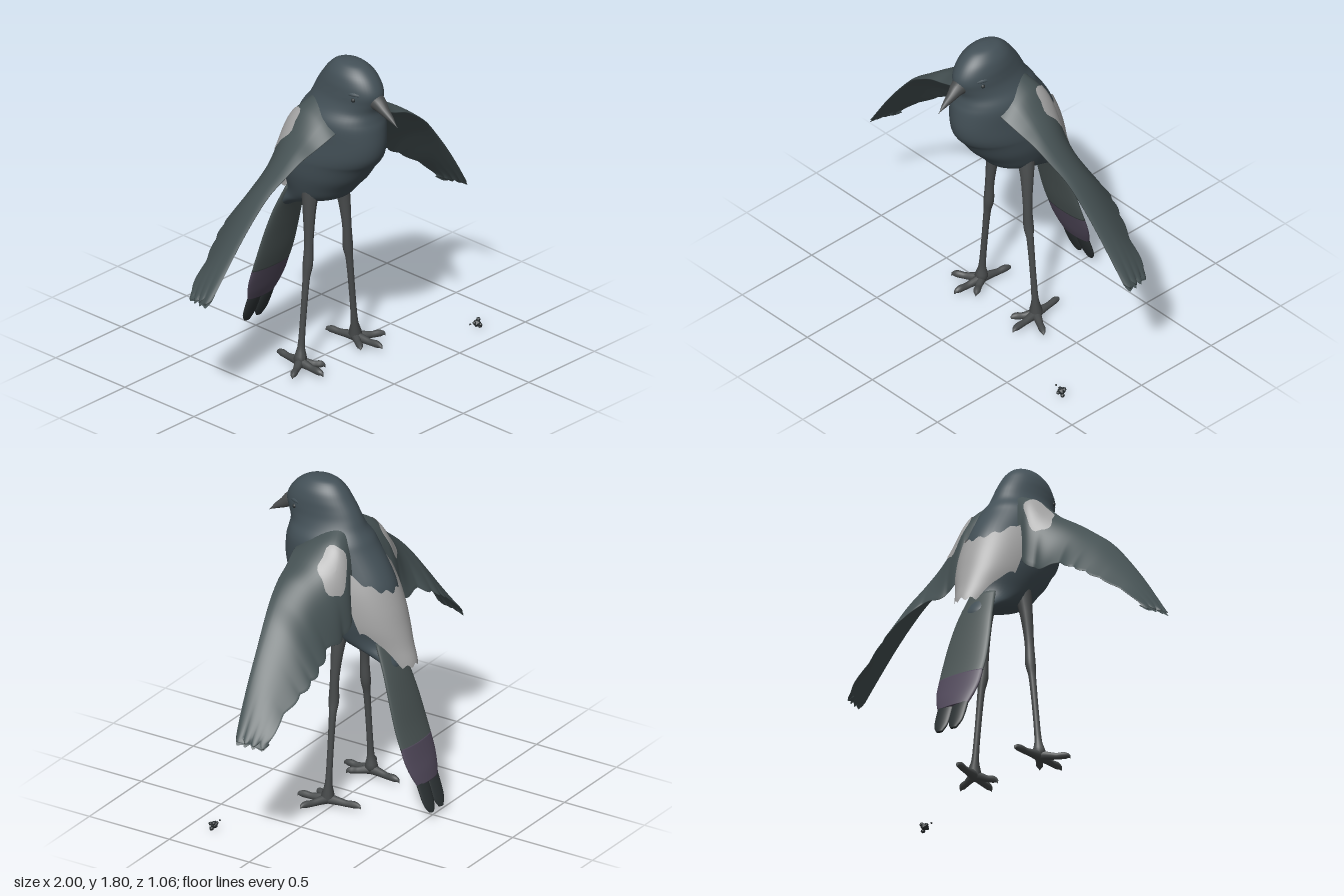
import * as THREE from 'three';

const { sin, cos, abs, PI, min, floor, max } = Math;
const paint = (color, side = THREE.FrontSide) => new THREE.MeshStandardMaterial({ color, side });
const slate = paint(0x435057), wingGrey = paint(0x465254), pale = paint(0xa3a3a3, THREE.DoubleSide);
const legGrey = paint(0x484b4c), dark = paint(0x2c3234), purple = paint(0x50485a), tailGrey = paint(0x4a5454);

// Smooth interpolation of table rows, t from 0 to 1
function sample(table, t) {
  const n = table.length - 1, i = min(floor(t * n), n - 1), f = t * n - i;
  const row = k => table[max(0, min(n, k))];
  return table[0].map((_, c) => {
    const [a, b, d, e] = [row(i - 1)[c], row(i)[c], row(i + 1)[c], row(i + 2)[c]];
    return b + 0.5 * f * (d - a + f * (2 * a - 5 * b + 4 * d - e + f * (3 * (b - d) + e - a)));
  });
}

// Skin over rows of points; wrap joins the last column to the first
function loft(rows, wrap = true) {
  const n = rows[0].length, index = [];
  for (let i = 0; i < rows.length - 1; i++) {
    for (let j = 0; j < (wrap ? n : n - 1); j++) {
      const k = (j + 1) % n, a = i * n + j, b = i * n + k, c = a + n, d = b + n;
      index.push(a, c, b, b, c, d);
    }
  }
  const g = new THREE.BufferGeometry();
  g.setAttribute('position', new THREE.Float32BufferAttribute(rows.flat(2), 3));
  g.setIndex(index);
  g.computeVertexNormals();
  return g;
}

// Closed stack of horizontal ovals, rows from top to bottom: [y, zFront, zBack, halfWidth, xCentre]
function stack(table, steps = 40, seg = 32) {
  const oval = ([y, zf, zb, w, xc = 0], s) => Array.from({ length: seg }, (_, j) => {
    const t = j / seg * 2 * PI;
    return [xc + s * w * sin(t), y, (zf + zb) / 2 + s * (zf - zb) / 2 * cos(t)];
  });
  const rows = [oval(table[0], 0)];
  for (let i = 0; i <= steps; i++) rows.push(oval(sample(table, i / steps), 1));
  rows.push(oval(table[table.length - 1], 0));
  return loft(rows);
}

// Tapered tube through [x, y, z, radius]
function limb(points, steps = 24, seg = 10) {
  const curve = new THREE.CatmullRomCurve3(points.map(p => new THREE.Vector3(p[0], p[1], p[2])));
  const g = new THREE.TubeGeometry(curve, steps, 1, seg);
  const pos = g.attributes.position, v = new THREE.Vector3();
  for (let i = 0; i <= steps; i++) {
    const centre = curve.getPointAt(i / steps);
    const r = max(0.001, sample(points.map(p => [p[3]]), curve.getUtoTmapping(i / steps))[0]);
    for (let j = 0; j <= seg; j++) {
      const k = i * (seg + 1) + j;
      v.fromBufferAttribute(pos, k).sub(centre).multiplyScalar(r).add(centre);
      pos.setXYZ(k, v.x, v.y, v.z);
    }
  }
  return g;
}

// Mirrored copy across x = 0 with its faces turned back outward
function mirror(geometry) {
  const g = geometry.clone().scale(-1, 1, 1), ix = g.index.array;
  for (let i = 0; i < ix.length; i += 3) [ix[i], ix[i + 1]] = [ix[i + 1], ix[i]];
  g.computeVertexNormals();
  return g;
}

// Wing stations: [x, leading y, leading z, trailing y, trailing z, half thickness, camber]
const WING = [
  [0.10, 1.46, 0.24, 1.24, -0.09, 0.08, 0.14], [0.20, 1.435, 0.24, 1.13, -0.12, 0.08, 0.145],
  [0.30, 1.39, 0.222, 1.045, -0.13, 0.055, 0.11], [0.40, 1.35, 0.208, 1.055, -0.12, 0.032, 0.07],
  [0.50, 1.285, 0.19, 1.01, -0.14, 0.022, 0.045], [0.60, 1.205, 0.165, 0.95, -0.15, 0.018, 0.032],
  [0.70, 1.09, 0.145, 0.885, -0.13, 0.014, 0.022], [0.80, 0.96, 0.13, 0.815, -0.10, 0.012, 0.017],
  [0.90, 0.815, 0.115, 0.735, -0.09, 0.01, 0.012], [0.985, 0.685, 0.10, 0.665, -0.08, 0.008, 0.005],
];
// Point on the wing: v along the span, u across the chord, side +1 upper or -1 lower
function wingPoint(v, u, side, lift = 0) {
  const [x, ly, lz, ty, tz, thick, camber] = sample(WING, v);
  const scallop = 0.05 * u ** 4 * (abs(sin(v * 27 + sin(v * 11))) - 0.5);
  const dy = ty - ly, dz = tz - lz, len = Math.hypot(dy, dz);
  const off = camber * sin(PI * u ** 0.75) + side * (thick * sin(PI * u ** 0.55) + 0.002) + lift;
  const finger = v ** 14 * 0.03 * (abs(sin(4 * PI * u)) - 0.5);
  const rounding = v ** 14 * 0.04 * u * u;
  return [x + finger - rounding, ly + dy * (u + scallop) - dz / len * off - finger, lz + dz * (u + scallop) + dy / len * off];
}
function wing() {
  const n = 24, rows = [];
  for (let i = 0; i <= 90; i++) {
    const row = [];
    for (let j = 0; j <= n; j++) row.push(wingPoint(i / 90, j / n, 1));
    for (let j = n; j >= 0; j--) row.push(wingPoint(i / 90, j / n, -1));
    rows.push(row);
  }
  const end = rows[90], mid = [0, 1, 2].map(c => end.reduce((s, p) => s + p[c], 0) / end.length);
  rows.push(end.map(() => mid));
  return loft(rows);
}
// Pale oval lying on the upper shoulder
function shoulderPatch() {
  const rows = [];
  for (let i = 0; i <= 8; i++) {
    rows.push(Array.from({ length: 28 }, (_, j) => {
      const t = j / 28 * 2 * PI, r = i / 8 * (1 + 0.08 * sin(5 * t));
      return wingPoint(0.17 + 0.085 * r * cos(t), 0.43 + 0.22 * r * sin(t), 1, 0.005);
    }));
  }
  return loft(rows);
}

// Pale feather cape over the lower back: [zBack, halfWidth, depth] from y 1.45 down to 0.85
const CAPE = [[-0.15, 0.20, 0.26], [-0.214, 0.212, 0.29], [-0.262, 0.222, 0.30], [-0.30, 0.22, 0.30],
  [-0.33, 0.205, 0.29], [-0.36, 0.17, 0.28], [-0.393, 0.14, 0.28]];
function cape() {
  const rows = [];
  for (let i = 0; i <= 24; i++) {
    const row = [];
    for (let j = 0; j <= 40; j++) {
      const u = j / 20 - 1, t = u * 1.15;
      const top = 1.25 + 0.16 * u * u + 0.012 * sin(u * 22);
      const bottom = 0.85 + 0.185 * THREE.MathUtils.smoothstep(abs(u), 0.42, 0.9) + 0.01 * cos(u * 20);
      const y = top + (bottom - top) * i / 24;
      const [zb, w, d] = sample(CAPE, max(0, min(1, (1.45 - y) / 0.6)));
      row.push([-w * sin(t), y, zb + d * (1 - cos(t))]);
    }
    rows.push(row);
  }
  return loft(rows, false);
}

export function createModel() {
  const model = new THREE.Group();
  const add = (name, geometry, material) => {
    const mesh = new THREE.Mesh(geometry, material);
    mesh.name = name;
    model.add(mesh);
  };
  const pair = (name, geometry, material) => {
    add('left' + name, geometry, material);
    add('right' + name, mirror(geometry), material);
  };

  // Head and body in one smooth form
  add('body', stack([
    [1.803, 0.21, 0.17, 0.02], [1.79, 0.28, 0.10, 0.06], [1.75, 0.34, 0.05, 0.097], [1.70, 0.38, 0.012, 0.115],
    [1.65, 0.398, -0.022, 0.122], [1.60, 0.385, -0.048, 0.13], [1.55, 0.368, -0.072, 0.15], [1.50, 0.375, -0.11, 0.183],
    [1.45, 0.388, -0.14, 0.195], [1.36, 0.395, -0.20, 0.198], [1.29, 0.385, -0.238, 0.203], [1.24, 0.36, -0.255, 0.205],
    [1.20, 0.325, -0.26, 0.203], [1.12, 0.27, -0.255, 0.193], [1.05, 0.205, -0.24, 0.175], [0.98, 0.14, -0.225, 0.15],
    [0.93, 0.03, -0.23, 0.125], [0.88, -0.11, -0.26, 0.098], [0.83, -0.21, -0.285, 0.07], [0.79, -0.26, -0.285, 0.04],
  ], 80, 48), slate);
  add('cape', cape(), pale);

  // Beak, eyes and brows
  add('beak', limb([[0, 1.625, 0.33, 0.06], [0, 1.612, 0.385, 0.044], [0, 1.58, 0.43, 0.028],
    [0, 1.547, 0.48, 0.015], [0, 1.512, 0.525, 0]], 24, 16), legGrey);
  pair('Eye', new THREE.SphereGeometry(0.012, 16, 12).translate(0.101, 1.635, 0.3), dark);
  pair('Brow', limb([[0.04, 1.645, 0.365, 0], [0.073, 1.66, 0.33, 0.012], [0.097, 1.665, 0.29, 0.012],
    [0.112, 1.65, 0.22, 0]]), slate);

  // Wings
  pair('Wing', wing(), wingGrey);
  pair('ShoulderPatch', shoulderPatch(), pale);

  // Tail: grey upper part, purple band and two dark tip feathers
  const tail = rows => stack(rows.map(([y, z, w, x = 0, d = 0.027]) => [y, z + d, z - d, w, x]), 24);
  add('tailUpper', tail([[0.95, -0.2, 0.085], [0.8, -0.265, 0.112], [0.65, -0.315, 0.132], [0.5, -0.36, 0.142],
    [0.4, -0.394, 0.141]]), tailGrey);
  add('tailBand', tail([[0.41, -0.391, 0.141], [0.33, -0.418, 0.138], [0.26, -0.443, 0.122], [0.20, -0.465, 0.098, 0, 0.022]]), purple);
  pair('TailTip', tail([[0.28, -0.437, 0.045, 0.05, 0.012], [0.18, -0.473, 0.05, 0.048, 0.018],
    [0.09, -0.506, 0.044, 0.047, 0.015], [0.045, -0.522, 0.02, 0.045, 0.01]]), dark);

  // Legs with a knobbed joint, and four clawed toes each
  pair('Leg', limb([[0.11, 1.03, 0, 0.05], [0.13, 0.9, 0.01, 0.036], [0.145, 0.72, 0.02, 0.025], [0.153, 0.59, 0.02, 0.028],
    [0.164, 0.52, 0.02, 0.02], [0.187, 0.3, 0.02, 0.017], [0.203, 0.13, 0.02, 0.02], [0.21, 0.05, 0.02, 0.036],
    [0.21, 0.018, 0.02, 0]], 48, 14), legGrey);
  const toes = [[0.225, 0.2], [0.355, 0.1], [0.135, 0.13], [0.185, -0.17]];
  toes.forEach(([x, z], i) => {
    const at = (f, y, r) => [0.21 + (x - 0.21) * f, y, 0.02 + (z - 0.02) * f, r];
    pair('Toe' + (i + 1), limb([at(0, 0.044, 0.028), at(0.3, 0.04, 0.022), at(0.55, 0.036, 0.018),
      at(0.8, 0.038, 0.019), at(0.94, 0.033, 0.012), at(1, 0.02, 0)]), legGrey);
  });

  // Small loose crumb on the ground beside the bird
  const crumb = [[0.775, 0.03, 0.365, 0.022], [0.79, 0.045, 0.36, 0.013], [0.79, 0.012, 0.372, 0.013],
    [0.758, 0.035, 0.36, 0.01], [0.775, 0.03, 0.39, 0.01], [0.728, 0.038, 0.36, 0.006]];
  crumb.forEach(([x, y, z, r], i) =>
    add('crumb' + (i + 1), new THREE.IcosahedronGeometry(r, 0).translate(x, y, z), dark));

  return model;
}
